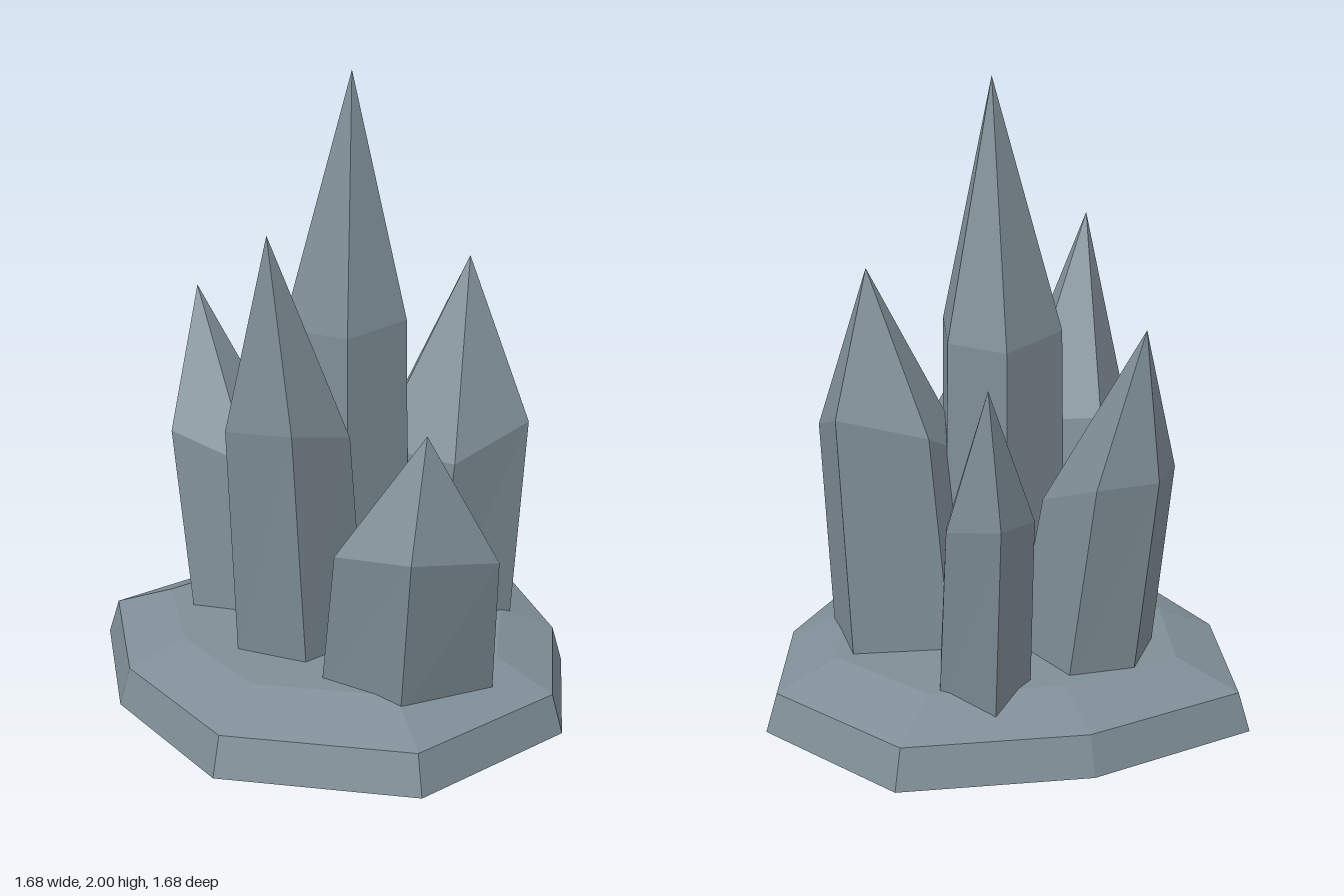
import * as THREE from 'three';

// Skin a stack of rings (clockwise seen from above, bottom to top), closed by a tip and a flat floor.
function loft(rings, tip) {
  const pos = [];
  const tri = (a, b, c) => pos.push(...a, ...b, ...c);
  const n = rings[0].length;
  const floor = [0, 1, 2].map(k => rings[0].reduce((s, p) => s + p[k], 0) / n);
  const last = rings[rings.length - 1];
  for (let i = 0; i < n; i++) {
    const j = (i + 1) % n;
    for (let r = 0; r + 1 < rings.length; r++) {
      const lo = rings[r], hi = rings[r + 1];
      tri(lo[j], lo[i], hi[i]);
      tri(lo[j], hi[i], hi[j]);
    }
    tri(last[j], last[i], tip);
    tri(rings[0][i], rings[0][j], floor);
  }
  const geo = new THREE.BufferGeometry();
  geo.setAttribute('position', new THREE.Float32BufferAttribute(pos, 3));
  geo.computeVertexNormals(); // unshared corners give flat facets
  return geo;
}

// Each crystal: tip, shoulder corners and centre of its foot; the foot is buried in the base.
const CRYSTALS = [
  { name: 'centralCrystal', tip: [0.015, 2, -0.03], foot: [0.02, -0.02],
    shoulder: [[0.03, 1.17, -0.205], [0.195, 1.22, -0.085], [0.14, 1.19, 0.155], [-0.125, 1.19, 0.15], [-0.15, 1.15, -0.115]] },
  { name: 'frontCrystal', tip: [0.055, 1.54, 0.435], foot: [0.015, 0.23],
    shoulder: [[-0.16, 0.88, 0.3], [0.05, 0.86, 0.13], [0.2, 0.9, 0.22], [0.165, 0.95, 0.46], [-0.055, 0.94, 0.51]] },
  { name: 'backLeftCrystal', tip: [0.26, 1.4, -0.35], foot: [0.15, -0.27],
    shoulder: [[0.165, 0.95, -0.55], [0.47, 0.86, -0.4], [0.365, 0.76, -0.12], [0.08, 0.78, -0.08], [0, 0.88, -0.31]] },
  { name: 'frontLeftCrystal', tip: [0.555, 0.99, 0.317], foot: [0.39, 0.2],
    shoulder: [[0.725, 0.6, 0.18], [0.61, 0.65, 0.47], [0.34, 0.62, 0.48], [0.25, 0.53, 0.2], [0.42, 0.51, 0]] },
  { name: 'rightCrystal', tip: [-0.588, 1.265, 0.05], foot: [-0.36, 0.04],
    shoulder: [[-0.57, 0.8, -0.135], [-0.28, 0.7, -0.08], [-0.28, 0.7, 0.15], [-0.535, 0.8, 0.25], [-0.655, 0.81, 0.045]] },
  { name: 'backRightCrystal', tip: [-0.52, 1.155, -0.52], foot: [-0.31, -0.36],
    shoulder: [[-0.585, 0.76, -0.53], [-0.405, 0.73, -0.58], [-0.25, 0.68, -0.45], [-0.355, 0.68, -0.28], [-0.52, 0.74, -0.34]] },
];

function crystalGeometry({ tip, foot, shoulder }) {
  const n = shoulder.length, flare = 1.08;
  const cx = shoulder.reduce((s, p) => s + p[0], 0) / n;
  const cz = shoulder.reduce((s, p) => s + p[2], 0) / n;
  const footRing = shoulder.map(([x, , z]) => [foot[0] + (x - cx) * flare, 0.14, foot[1] + (z - cz) * flare]);
  return loft([footRing, shoulder], tip);
}

export function createModel() {
  const model = new THREE.Group();
  model.name = 'crystalCluster';
  const stone = new THREE.MeshStandardMaterial({ color: 0x7f8e97 });
  stone.name = 'slate grey';

  const add = (name, geometry) => {
    const mesh = new THREE.Mesh(geometry, stone);
    mesh.name = name;
    model.add(mesh);
  };

  // Rock base: irregular nine-sided slab with a bevelled top
  const outline = [[-0.42, -0.79], [0.16, -0.845], [0.57, -0.5], [0.84, -0.03], [0.72, 0.56],
    [0.17, 0.84], [-0.39, 0.67], [-0.845, 0.28], [-0.74, -0.3]];
  const ring = (scale, y) => outline.map(([x, z]) => [x * scale, y, z * scale]);
  add('rockBase', loft([ring(1, 0), ring(0.955, 0.12), ring(0.715, 0.195)], [0, 0.195, 0]));

  for (const crystal of CRYSTALS) add(crystal.name, crystalGeometry(crystal));
  return model;
}
